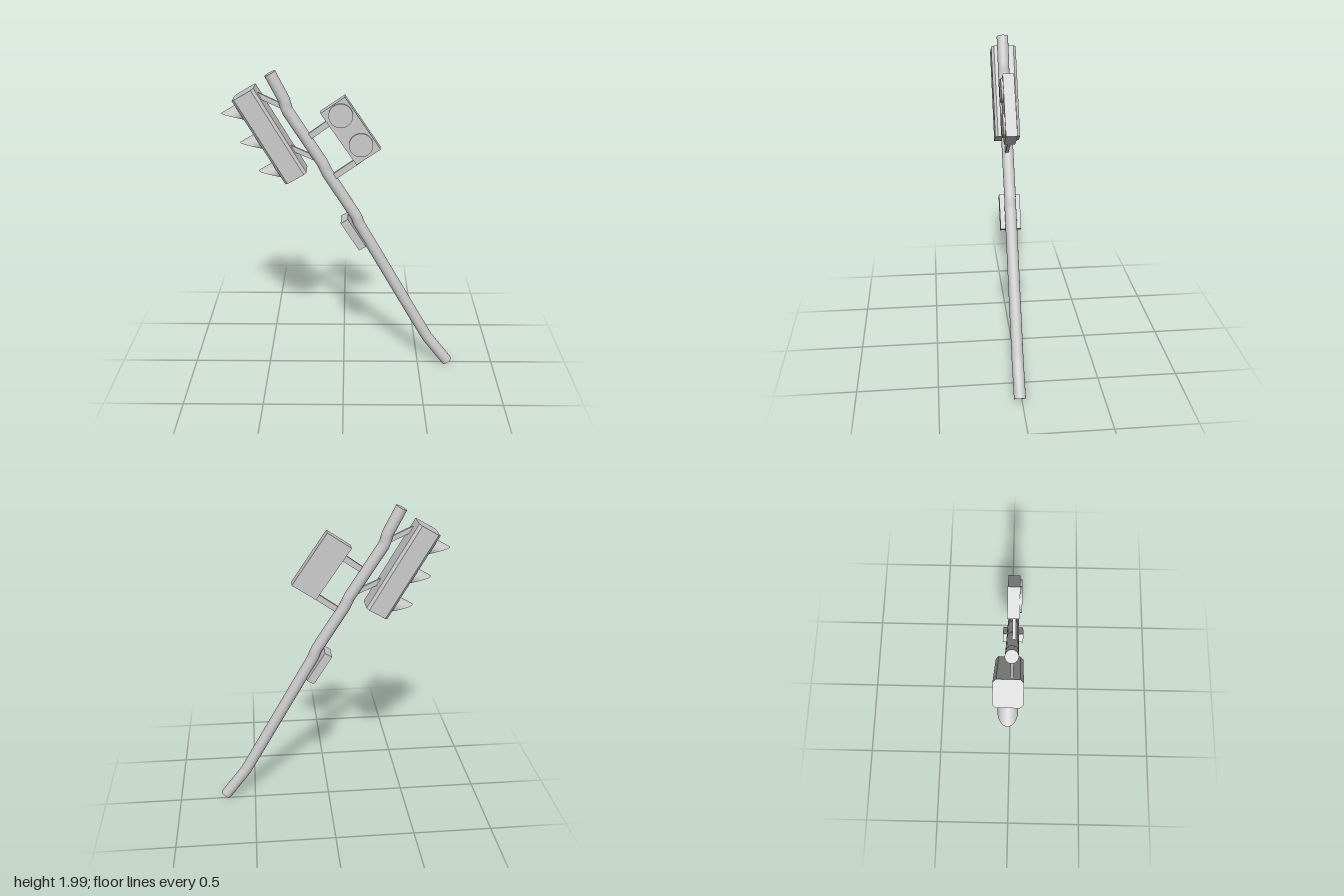
import * as THREE from 'three';

const grey = new THREE.MeshStandardMaterial({ color: 0xcccccc });
const thin = new THREE.MeshStandardMaterial({ color: 0xcccccc, side: THREE.DoubleSide });
const Z = 0.014; // depth of the pole's centre line
const rad = THREE.MathUtils.degToRad;

function add(parent, name, geometry, x = 0, y = 0, z = 0, material = grey) {
  const mesh = new THREE.Mesh(geometry, material);
  mesh.name = name;
  mesh.position.set(x, y, z);
  parent.add(mesh);
  return mesh;
}

function tiltedGroup(parent, name, x, y, z, degrees) {
  const g = new THREE.Group();
  g.name = name;
  g.position.set(x, y, z);
  g.rotation.z = rad(degrees);
  parent.add(g);
  return g;
}

// Flat bar between two points in the front plane
function bar(parent, name, [x1, y1], [x2, y2], z, height, depth) {
  const length = Math.hypot(x2 - x1, y2 - y1);
  const mesh = add(parent, name, new THREE.BoxGeometry(length, height, depth), (x1 + x2) / 2, (y1 + y2) / 2, z);
  mesh.rotation.z = Math.atan2(y2 - y1, x2 - x1);
}

// Box standing on y with chamfered upright edges
function chamferedBox(w, h, d, c) {
  const a = w / 2, b = d / 2;
  const outline = [[a, -b + c], [a, b - c], [a - c, b], [-a + c, b], [-a, b - c], [-a, -b + c], [-a + c, -b], [a - c, -b]];
  const shape = new THREE.Shape(outline.map(p => new THREE.Vector2(...p)));
  const geo = new THREE.ExtrudeGeometry(shape, { depth: h, bevelEnabled: false });
  geo.translate(0, 0, -h / 2);
  return geo.rotateX(-Math.PI / 2);
}

// Hood along -x: a tube that is long at the top and tapers away at the bottom
function hoodGeometry(radius, reach) {
  const geo = new THREE.CylinderGeometry(radius, radius, 1, 32, 6, true);
  geo.translate(0, 0.5, 0).rotateZ(Math.PI / 2);
  const p = geo.attributes.position;
  for (let i = 0; i < p.count; i++) {
    const t = Math.max(0, (p.getY(i) / radius + 1) / 2);
    p.setX(i, p.getX(i) * (0.004 + reach * Math.pow(t, 1.4)));
  }
  geo.computeVertexNormals();
  return geo;
}

export function createModel() {
  const model = new THREE.Group();
  model.name = 'bentSignalPole';

  // Pole: straight runs with soft kinks
  const knots = [[-0.434, 1.979], [-0.354, 1.82], [-0.339, 1.759], [-0.13, 1.429], [-0.103, 1.368],
    [0.079, 1.077], [0.098, 1.024], [0.555, 0.212], [0.696, 0.027]].map(([x, y]) => new THREE.Vector3(x, y, Z));
  const path = new THREE.CurvePath();
  for (let i = 1; i < knots.length; i++) path.add(new THREE.LineCurve3(knots[i - 1], knots[i]));
  const radius = 0.036;
  add(model, 'pole', new THREE.TubeGeometry(path, 90, radius, 20));
  for (const end of [0, 1]) {
    const point = path.getPointAt(end);
    const out = path.getTangentAt(end).multiplyScalar(end ? 1 : -1);
    const cap = add(model, 'poleCap', new THREE.CircleGeometry(radius, 20), point.x, point.y, point.z);
    cap.quaternion.setFromUnitVectors(new THREE.Vector3(0, 0, 1), out);
  }

  // Three-lamp signal facing outwards
  const signal = tiltedGroup(model, 'trafficSignal', -0.443, 1.603, -0.002, 30.2);
  add(signal, 'signalHousing', chamferedBox(0.15, 0.6, 0.16, 0.017));
  for (const y of [0.207, -0.002, -0.211]) {
    add(signal, 'hood', hoodGeometry(0.054, 0.108), -0.073, y, 0, thin);
    const lens = add(signal, 'lens', new THREE.CylinderGeometry(0.052, 0.052, 0.006, 32), -0.075, y, 0);
    lens.rotation.z = Math.PI / 2;
  }
  bar(model, 'signalBracket', [-0.55, 1.87], [-0.35, 1.775], 0.016, 0.03, 0.017);
  bar(model, 'signalBracket', [-0.33, 1.53], [-0.14, 1.445], 0.016, 0.03, 0.017);

  // Pedestrian signal facing the front
  const walk = tiltedGroup(model, 'pedestrianSignal', 0.042, 1.637, 0.017, 34);
  add(walk, 'pedestrianHousing', new THREE.BoxGeometry(0.176, 0.386, 0.068));
  for (const y of [0.115, -0.103]) {
    const lamp = add(walk, 'pedestrianLamp', new THREE.CylinderGeometry(0.073, 0.073, 0.02, 32), 0.005, y, 0.036);
    lamp.rotation.x = Math.PI / 2;
  }
  bar(model, 'pedestrianBracket', [-0.22, 1.59], [-0.08, 1.69], 0.022, 0.037, 0.02);
  bar(model, 'pedestrianBracket', [-0.08, 1.33], [0.09, 1.45], 0.022, 0.037, 0.02);

  // Push-button box on the side of the pole
  const button = tiltedGroup(model, 'buttonBox', 0.061, 0.976, 0.014, 32);
  add(button, 'buttonHousing', new THREE.BoxGeometry(0.052, 0.218, 0.128));

  return model;
}
